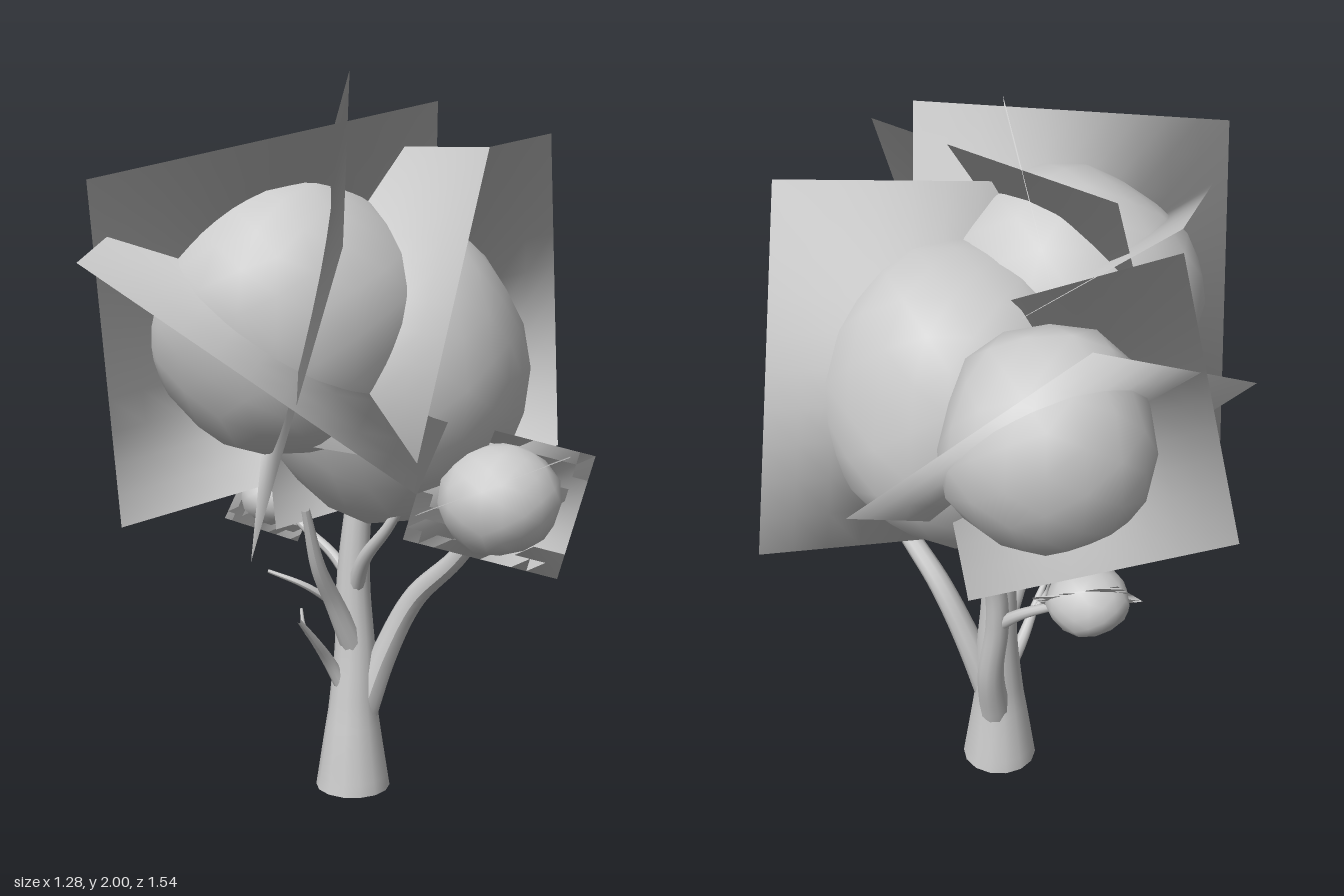
import * as THREE from 'three';
import { mergeVertices } from 'three/addons/utils/BufferGeometryUtils.js';

const grey = new THREE.MeshStandardMaterial({ color: 0xcccccc });
const thin = new THREE.MeshStandardMaterial({ color: 0xcccccc, side: THREE.DoubleSide });
const V = (p) => new THREE.Vector3(...p);

// Tapered limb through points, radii interpolated along its length
function limb(name, points, radii, sides = 10) {
  const curve = new THREE.CatmullRomCurve3(points.map(V));
  const steps = points.length * 5;
  const geo = new THREE.TubeGeometry(curve, steps, 1, sides, false);
  const pos = geo.attributes.position;
  const v = new THREE.Vector3();
  for (let i = 0; i <= steps; i++) {
    const centre = curve.getPointAt(i / steps);
    const t = (i / steps) * (radii.length - 1);
    const k = Math.min(Math.floor(t), radii.length - 2);
    const r = THREE.MathUtils.lerp(radii[k], radii[k + 1], t - k);
    for (let j = 0; j <= sides; j++) {
      const n = i * (sides + 1) + j;
      v.fromBufferAttribute(pos, n).sub(centre).multiplyScalar(r).add(centre);
      pos.setXYZ(n, v.x, v.y, v.z);
    }
  }
  geo.computeVertexNormals();
  const mesh = new THREE.Mesh(geo, grey);
  mesh.name = name;
  return mesh;
}

// Lumpy rounded mass of leaves
function leafMass(name, centre, radii, seed, detail) {
  const raw = new THREE.IcosahedronGeometry(1, detail);
  raw.deleteAttribute('uv');
  raw.deleteAttribute('normal');
  const geo = mergeVertices(raw, 1e-4);
  const pos = geo.attributes.position;
  const v = new THREE.Vector3();
  for (let i = 0; i < pos.count; i++) {
    v.fromBufferAttribute(pos, i);
    const bump = 1 + 0.03 * Math.sin(4.1 * v.x + seed) * Math.cos(4.7 * v.y + 2 * seed)
      + 0.025 * Math.sin(5.3 * v.z + 3 * v.y + seed);
    v.multiplyScalar(bump).multiply(V(radii));
    pos.setXYZ(i, v.x, v.y, v.z);
  }
  geo.computeVertexNormals();
  const mesh = new THREE.Mesh(geo, grey);
  mesh.position.set(...centre);
  mesh.name = name;
  return mesh;
}

// Flat leaf card from one corner and its two neighbours; its normals spread
// out from the crown's centre so that it shades like the rounded leaf mass
function card(name, crown, corner, nextA, nextB) {
  const o = V(corner);
  const u = V(nextB).sub(o), w = V(nextA).sub(o);
  const centre = V(crown);
  const geo = new THREE.PlaneGeometry(1, 1, 10, 10);
  const { position, normal } = geo.attributes;
  const v = new THREE.Vector3();
  for (let i = 0; i < position.count; i++) {
    v.copy(o).addScaledVector(u, position.getX(i) + 0.5).addScaledVector(w, position.getY(i) + 0.5);
    position.setXYZ(i, v.x, v.y, v.z);
    v.sub(centre).normalize();
    normal.setXYZ(i, v.x, v.y, v.z);
  }
  const mesh = new THREE.Mesh(geo, thin);
  mesh.name = name;
  return mesh;
}

// Flat leaf card from its centre and two half diagonals
function diagonalCard(name, crown, p, q) {
  const at = (d, s) => V(crown).addScaledVector(V(d), s).toArray();
  return card(name, crown, at(p, 1), at(q, 1), at(q, -1));
}

export function createModel() {
  const tree = new THREE.Group();
  tree.name = 'tree';

  // Trunk and its flat underside
  tree.add(limb('trunk',
    [[0, 0, -0.06], [0, 0.2, -0.065], [0.005, 0.4, -0.08], [0, 0.6, -0.09], [0.02, 0.92, -0.09]],
    [0.105, 0.07, 0.054, 0.043, 0.03], 14));
  const base = new THREE.Mesh(new THREE.CircleGeometry(0.105, 14), grey);
  base.rotation.x = Math.PI / 2;
  base.position.set(0, 0.001, -0.06);
  base.name = 'trunkBase';
  tree.add(base);

  // Main boughs and lesser branches
  const limbs = [
    ['leftBough', [[0.02, 0.2, -0.06], [0.09, 0.4, -0.06], [0.17, 0.57, -0.03], [0.28, 0.71, 0.06], [0.37, 0.86, 0.16]], [0.045, 0.035, 0.028, 0.02]],
    ['backBough', [[0.01, 0.18, -0.1], [0.02, 0.36, -0.165], [0, 0.56, -0.205], [0.01, 0.7, -0.225], [0.09, 0.9, -0.28]], [0.045, 0.034, 0.03, 0.02]],
    ['frontBough', [[0, 0.42, -0.06], [-0.05, 0.56, -0.01], [-0.09, 0.68, 0.05], [-0.12, 0.86, 0.11]], [0.035, 0.026, 0.02, 0.012]],
    ['upperBranch', [[0, 0.55, -0.09], [0.03, 0.68, -0.02], [0.1, 0.8, 0.06], [0.15, 0.9, 0.1]], [0.026, 0.018, 0.012]],
    ['rightBranch', [[0, 0.55, -0.2], [-0.07, 0.63, -0.26], [-0.15, 0.69, -0.31], [-0.24, 0.76, -0.38]], [0.02, 0.013, 0.008]],
    ['lowBranch', [[0, 0.24, -0.06], [-0.06, 0.37, -0.03], [-0.1, 0.46, 0.03], [-0.14, 0.54, 0.09]], [0.025, 0.016, 0.006]],
    ['lowTwig', [[-0.09, 0.44, 0.01], [-0.13, 0.5, 0.03], [-0.14, 0.55, 0.01]], [0.01, 0.004]],
    ['sideTwig', [[-0.05, 0.56, -0.01], [-0.13, 0.62, 0.02], [-0.23, 0.66, 0.02]], [0.012, 0.005]],
  ];
  for (const [name, points, radii] of limbs) tree.add(limb(name, points, radii));

  // Rounded leaf masses
  const front = [-0.16, 1.375, 0.12], main = [0.105, 1.21, -0.09], back = [-0.13, 1.275, -0.465];
  const left = [0.39, 0.91, 0.18], right = [-0.24, 0.765, -0.385];
  tree.add(
    leafMass('frontCrown', front, [0.37, 0.365, 0.36], 1, 3),
    leafMass('mainCrown', main, [0.37, 0.415, 0.385], 2.4, 3),
    leafMass('backCrown', back, [0.265, 0.28, 0.275], 4, 2),
    leafMass('leftTuft', left, [0.16, 0.146, 0.172], 0.5, 2),
    leafMass('rightTuft', right, [0.108, 0.092, 0.108], 3, 2),
  );

  // Large leaf cards crossing the crowns
  const cards = [
    ['frontCrownCard', front, [0.01, 1.635, 0.775], [-0.01, 2.0, -0.09], [-0.235, 0.81, 0.43]],
    ['frontCrownCard', front, [-0.605, 1.755, 0.475], [0.22, 1.925, 0.09], [-0.61, 0.81, 0.13]],
    ['frontCrownCard', front, [-0.61, 1.575, 0.6], [0.175, 1.05, 0.665], [-0.435, 1.76, -0.32]],
    ['mainCrownCard', main, [0.53, 1.83, -0.22], [-0.27, 1.68, 0.19], [0.59, 0.915, -0.435]],
    ['mainCrownCard', main, [0.345, 1.82, 0.265], [0.175, 1.09, 0.535], [-0.285, 1.795, -0.255]],
    ['backCrownCard', back, [-0.225, 1.66, -0.77], [0.335, 1.16, -0.65], [-0.645, 1.32, -0.235]],
    ['backCrownCard', back, [-0.585, 1.09, -0.615], [0.06, 0.84, -0.51], [-0.44, 1.7, -0.32]],
    ['leftTuftCard', left, [0.555, 1.07, 0.365], [0.59, 0.975, -0.055], [0.17, 0.915, 0.365]],
  ];
  for (const c of cards) tree.add(card(...c));

  // Small cards crossing the tufts
  tree.add(
    diagonalCard('leftTuftCard', [0.39, 0.91, 0.16], [0.25, 0.11, -0.02], [0.155, -0.21, 0.03]),
    diagonalCard('rightTuftCard', right, [-0.145, -0.05, 0.07], [-0.07, 0.11, -0.1]),
  );
  return tree;
}
